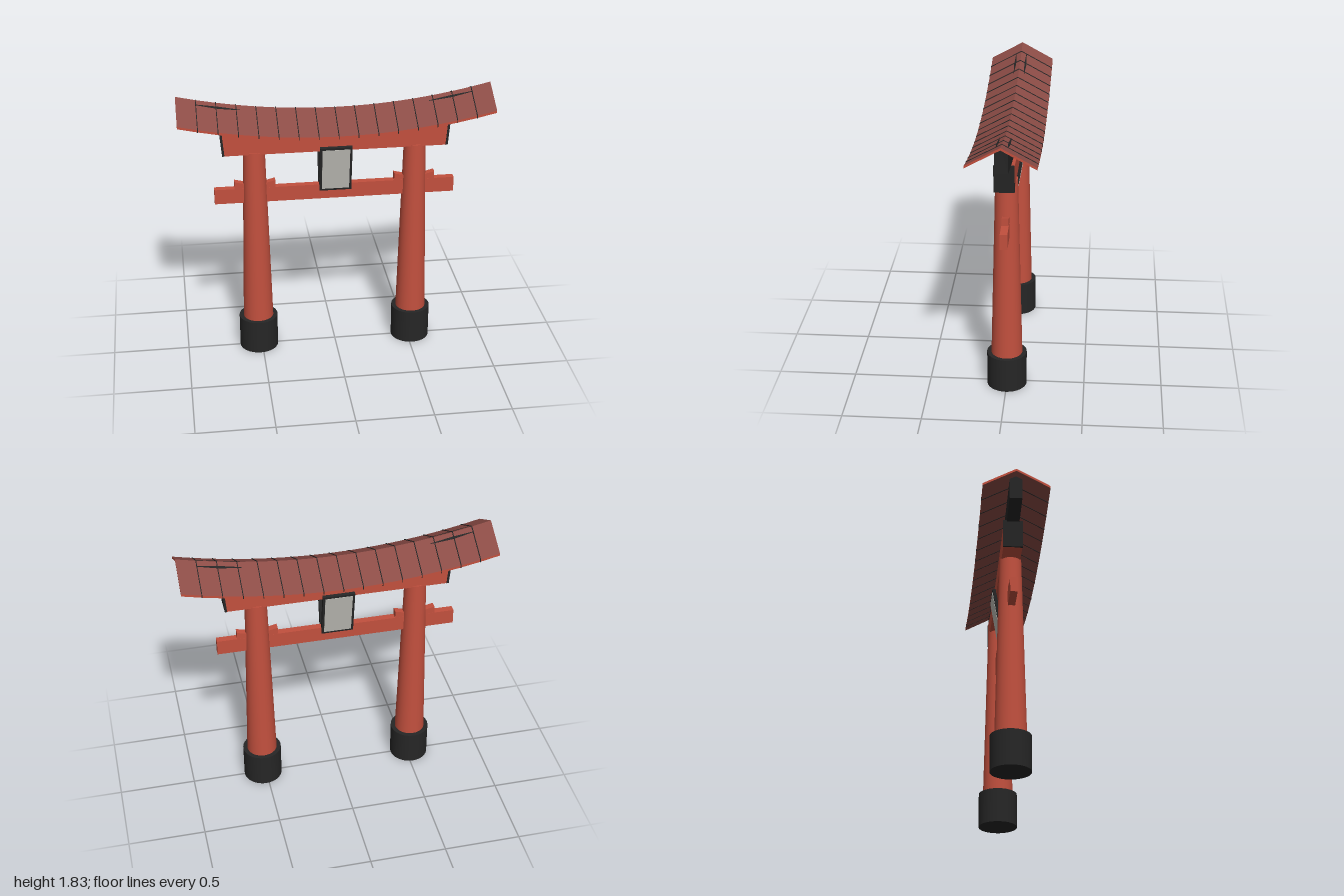
import * as THREE from 'three';

const mat = (name, color, side = THREE.FrontSide) =>
  Object.assign(new THREE.MeshStandardMaterial({ color, side }), { name });

export function createModel() {
  const red = mat('vermilion paint', 0xc2503e);
  const roofMat = mat('roof brown', 0x8c4c46);
  const dark = mat('black lacquer', 0x262626);
  const grey = mat('plaque grey', 0xbfbeb7);
  const model = new THREE.Group();
  model.name = 'shrineGate';

  const add = (parent, name, geometry, material, x = 0, y = 0, z = 0) => {
    const mesh = new THREE.Mesh(geometry, material);
    mesh.name = name;
    mesh.position.set(x, y, z);
    parent.add(mesh);
    return mesh;
  };

  // Loft a convex ring along stations; one material per ring edge, one for the caps
  const loft = (name, stations, ring, edgeMats, capMat) => {
    const rings = stations.map(ring);
    const n = rings[0].length;
    const last = rings.length - 1;
    const pos = [];
    const geometry = new THREE.BufferGeometry();
    const tri = (...pts) => pts.forEach((p) => pos.push(...p));
    for (let j = 0; j < n; j++) {
      const start = pos.length / 3;
      const k = (j + 1) % n;
      for (let i = 0; i < last; i++) {
        const [a, b, c, d] = [rings[i][j], rings[i + 1][j], rings[i + 1][k], rings[i][k]];
        tri(a, b, c);
        tri(a, c, d);
      }
      geometry.addGroup(start, pos.length / 3 - start, j);
    }
    const start = pos.length / 3;
    for (let j = 1; j < n - 1; j++) {
      tri(rings[0][0], rings[0][j], rings[0][j + 1]);
      tri(rings[last][0], rings[last][j + 1], rings[last][j]);
    }
    geometry.addGroup(start, pos.length / 3 - start, n);
    geometry.setAttribute('position', new THREE.Float32BufferAttribute(pos, 3));
    geometry.computeVertexNormals();
    return add(model, name, geometry, [...edgeMats, capMat]);
  };
  const span = (a, b, count) => Array.from({ length: count + 1 }, (_, i) => a + ((b - a) * i) / count);
  const sag = (x) => 0.12 * x * x;
  const ridge = (x) => 1.705 + sag(x);
  const all = (m, n) => Array(n).fill(m);

  // Pillars, footings and the wedges beside each pillar
  for (const s of [-1, 1]) {
    const side = s > 0 ? 'left' : 'right';
    add(model, side + 'Footing', new THREE.CylinderGeometry(0.128, 0.128, 0.23, 32), dark, s * 0.52, 0.115);
    add(model, side + 'Pillar', new THREE.CylinderGeometry(0.07, 0.1, 1.22, 32), red, s * 0.52, 0.83);
    for (const w of [-1, 1]) {
      const shape = new THREE.Shape([
        new THREE.Vector2(w * 0.04, 1.17), new THREE.Vector2(w * 0.132, 1.17),
        new THREE.Vector2(w * 0.132, 1.228), new THREE.Vector2(w * 0.04, 1.205),
      ]);
      const wedge = new THREE.ExtrudeGeometry(shape, { depth: 0.044, bevelEnabled: false });
      add(model, side + 'Wedge', wedge, red, s * 0.52, 0, -0.022);
    }
  }

  // Lower tie beam
  add(model, 'tieBeam', new THREE.BoxGeometry(1.565, 0.1, 0.046), red, 0, 1.13, 0);

  // Upper lintel: flat below, curved on top, flared dark ends
  const lintelRing = (depth, lift) => (t) => {
    const top = 1.535 + sag(0.74 * t) + lift;
    return [
      [0.725 * t, 1.43, -depth], [0.725 * t, 1.43, depth],
      [0.74 * t, top, depth], [0.74 * t, top, -depth],
    ];
  };
  loft('lintel', span(-0.985, 0.985, 16), lintelRing(0.06, 0), all(red, 4), red);
  loft('rightLintelEnd', [-1, -0.98], lintelRing(0.063, 0.008), all(dark, 4), dark);
  loft('leftLintelEnd', [0.98, 1], lintelRing(0.063, 0.008), all(dark, 4), dark);

  // Curved dark ridge beam under the roof
  loft('ridgeBeam', span(-0.955, 0.955, 16), (x) => [
    [x * 0.993, 1.535 + sag(x), -0.04], [x * 0.993, 1.535 + sag(x), 0.04],
    [x, ridge(x) - 0.032, 0.04], [x, ridge(x) - 0.01, 0], [x, ridge(x) - 0.032, -0.04],
  ], all(dark, 5), dark);

  // One roof slope as a slab: from z0 to z1, between two offsets from the roof surface
  const slope = (s, z0, z1, low, high, widen = 0) => (x) => {
    const y = (z) => ridge(x) - 0.548 * z;
    const pts = [
      [x, y(z0) + low, s * z0], [x, y(z1) + low, s * (z1 + widen)],
      [x, y(z1) + high, s * (z1 + widen)], [x, y(z0) + high, s * z0],
    ];
    return s > 0 ? pts : pts.reverse();
  };
  for (const s of [-1, 1]) {
    const side = s > 0 ? 'front' : 'back';
    loft(side + 'Roof', span(-1, 1, 16), slope(s, 0, 0.21, -0.015, 0), [roofMat, red, roofMat, roofMat], red);
    // Thin seams between roof panels
    for (let i = -7; i <= 7; i++) {
      const x = i * 0.125;
      loft(side + 'RoofSeam', [x - 0.0025, x + 0.0025], slope(s, 0, 0.21, -0.018, 0.004, 0.001), all(dark, 4), dark);
    }
    // Dark slivers of the beam showing through near the roof ends
    for (const e of [-1, 1]) {
      loft(side + 'BeamSliver', e > 0 ? [0.6, 0.74, 0.88] : [-0.88, -0.74, -0.6], (x) => {
        const w = 0.001 + 0.006 * (1 - Math.abs(Math.abs(x) - 0.74) / 0.14);
        return slope(s, 0.035 - w, 0.035 + w, -0.005, 0.002)(x);
      }, all(dark, 4), dark);
    }
  }

  // Tilted plaques on the front and back
  for (const s of [-1, 1]) {
    const plaque = new THREE.Group();
    plaque.name = s > 0 ? 'frontPlaque' : 'backPlaque';
    add(plaque, 'plaqueFrame', new THREE.BoxGeometry(0.208, 0.322, 0.022), dark);
    add(plaque, 'plaqueFace', new THREE.BoxGeometry(0.178, 0.292, 0.004), grey, 0, 0, 0.0115);
    const pivot = new THREE.Group();
    pivot.name = plaque.name + 'Mount';
    plaque.position.set(0, 1.3, 0.048);
    plaque.rotation.x = 0.165;
    pivot.rotation.y = s > 0 ? 0 : Math.PI;
    pivot.add(plaque);
    model.add(pivot);
  }
  return model;
}
